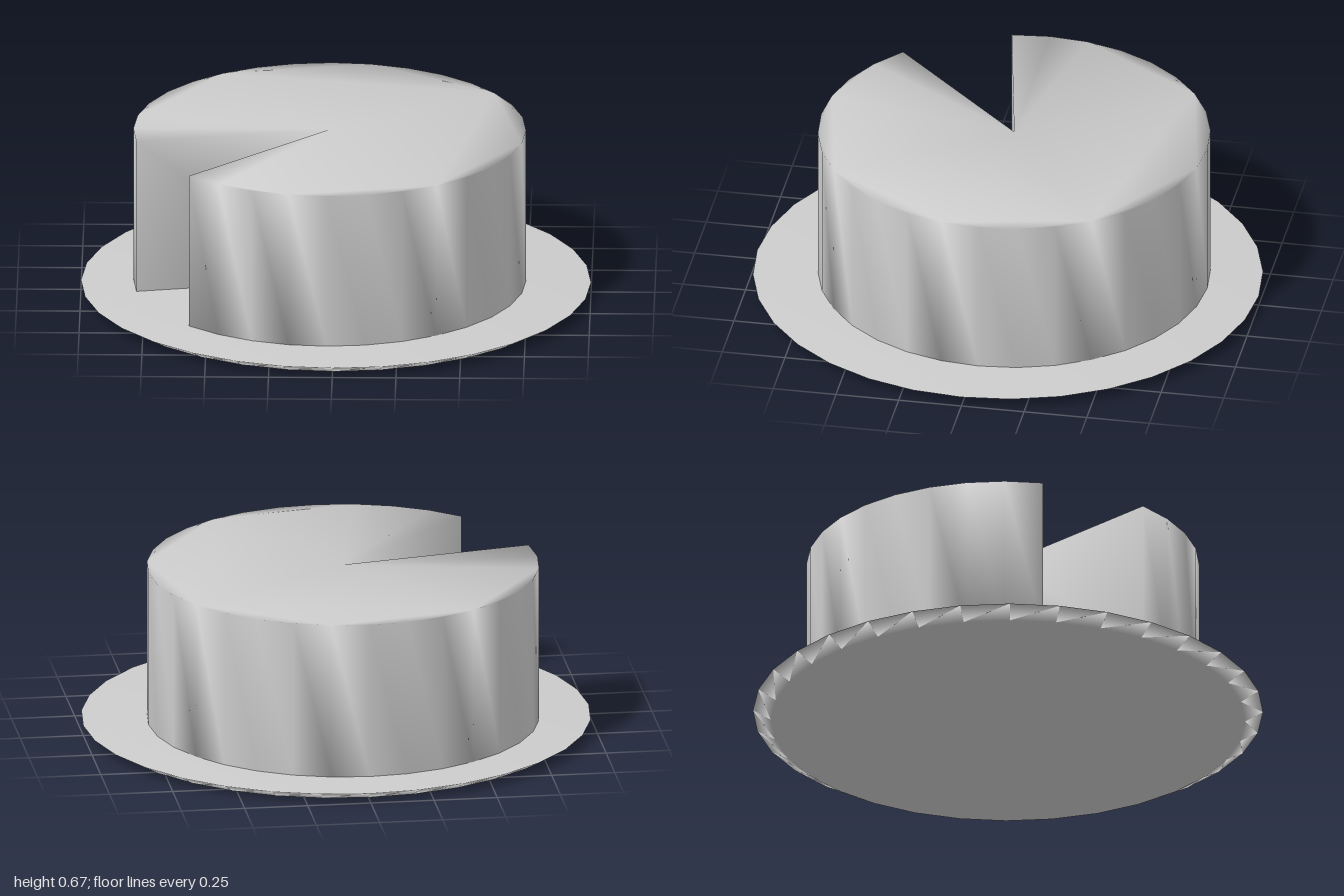
import * as THREE from 'three';
import { mergeVertices } from 'three/addons/utils/BufferGeometryUtils.js';

const SIDES = 32;
const STEP = (Math.PI * 2) / SIDES;

// Weld all corners so the whole surface shades smoothly
function weld(geometry) {
  geometry.deleteAttribute('uv');
  geometry.deleteAttribute('normal');
  const welded = mergeVertices(geometry, 1e-4);
  welded.computeVertexNormals();
  return welded;
}

function addPart(group, name, geometry, material) {
  const mesh = new THREE.Mesh(geometry, material);
  mesh.name = name;
  group.add(mesh);
  return mesh;
}

export function createModel() {
  const group = new THREE.Group();
  group.name = 'cakeOnPlate';
  const material = new THREE.MeshStandardMaterial({ color: 0xcccccc });

  // Plate: thin disc widening towards its top
  const plateHeight = 0.04;
  const plate = addPart(group, 'plate',
    weld(new THREE.CylinderGeometry(1, 0.93, plateHeight, SIDES)), material);
  plate.position.y = plateHeight / 2;

  // Cake: round, with a three-segment slice taken out at the front right
  const radius = 0.77;
  const outline = new THREE.Shape();
  outline.moveTo(0, 0);
  for (let i = 4; i <= SIDES + 1; i++) {
    outline.lineTo(-radius * Math.cos(i * STEP), -radius * Math.sin(i * STEP));
  }
  outline.closePath();
  const cakeGeometry = new THREE.ExtrudeGeometry(outline, { depth: 0.625, bevelEnabled: false });
  cakeGeometry.rotateX(-Math.PI / 2);
  const cake = addPart(group, 'cake', weld(cakeGeometry), material);
  cake.position.set(-0.025, plateHeight, -0.02);

  return group;
}
